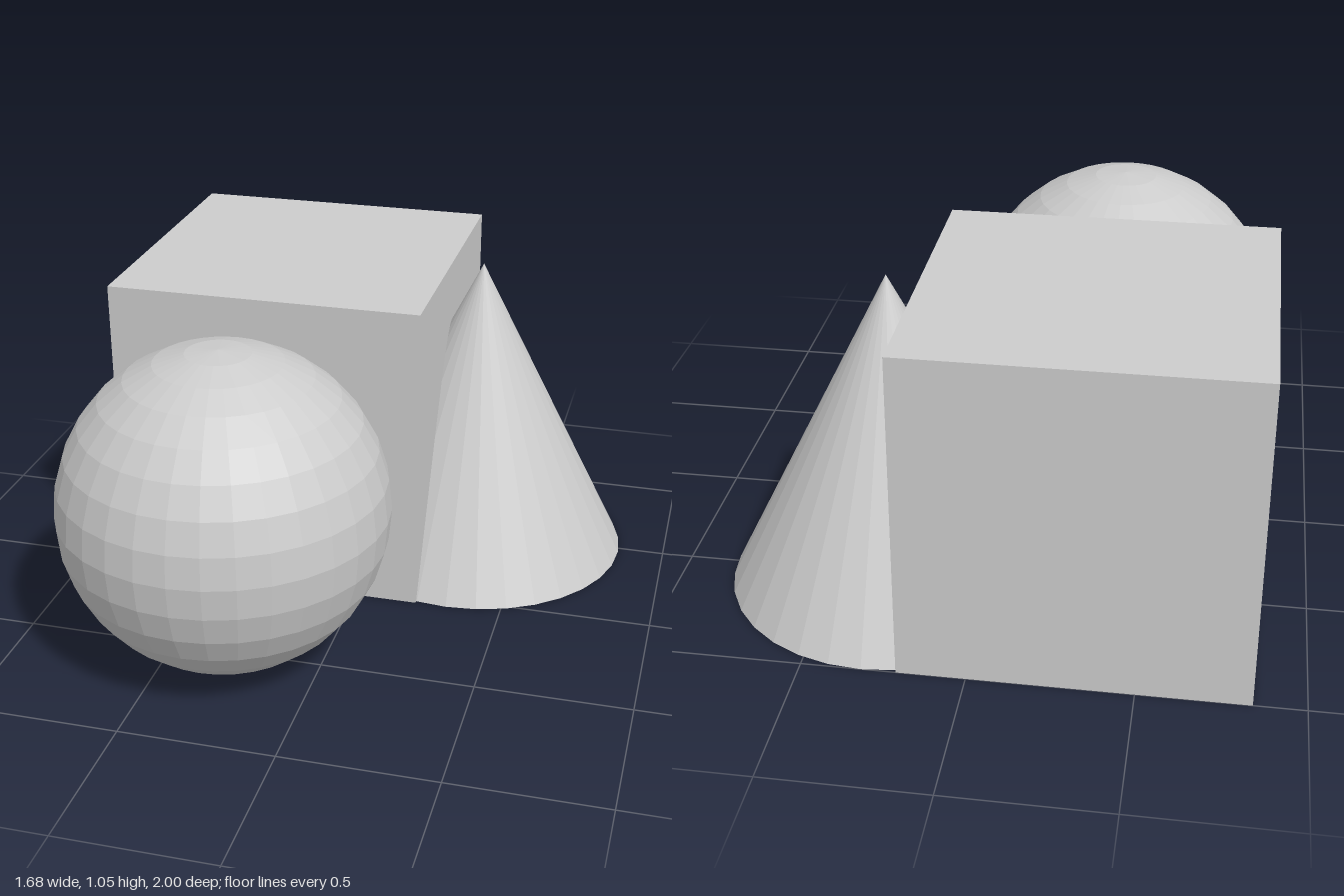
import * as THREE from 'three';

export function createModel() {
  const group = new THREE.Group();
  const grey = new THREE.MeshStandardMaterial({ color: 0xcccccc });
  grey.name = 'light grey';

  const size = 2 / 1.9; // shared height of all three solids
  const r = size / 2;
  const dx = 0.316, dz = 0.474;

  // separate triangles give every facet its own flat normal
  const addPart = (name, geometry, x, z) => {
    const flat = geometry.index ? geometry.toNonIndexed() : geometry;
    flat.computeVertexNormals();
    const mesh = new THREE.Mesh(flat, grey);
    mesh.name = name;
    mesh.position.set(x, r, z);
    group.add(mesh);
  };

  addPart('cube', new THREE.BoxGeometry(size, size, size), -dx, -dz);
  addPart('sphere', new THREE.SphereGeometry(r, 32, 16), -dx, dz);
  addPart('cone', new THREE.ConeGeometry(r, size, 32), dx, -dz);

  return group;
}
